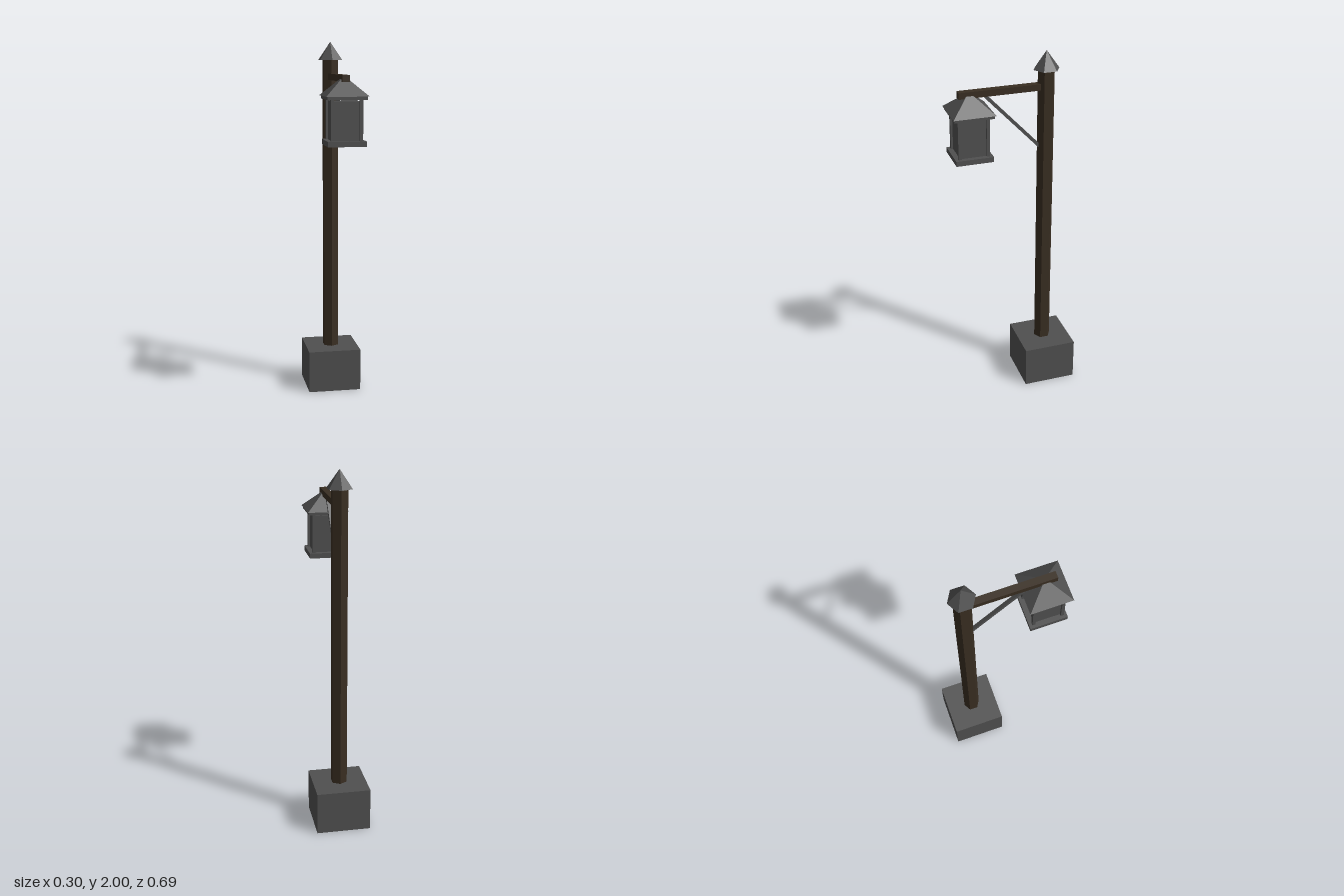
import * as THREE from 'three';

export function createModel() {
  const group = new THREE.Group();
  const iron = new THREE.MeshStandardMaterial({ color: 0x505050, flatShading: true });
  iron.name = 'dark grey';
  const wood = new THREE.MeshStandardMaterial({ color: 0x392e22, flatShading: true });
  wood.name = 'dark brown wood';

  const add = (name, geometry, material, x, y, z, parent = group) => {
    const mesh = new THREE.Mesh(geometry, material);
    mesh.name = name;
    mesh.position.set(x, y, z);
    parent.add(mesh);
    return mesh;
  };
  // Box given by its width, depth, bottom and top
  const block = (name, material, w, d, y0, y1, x, z, parent) =>
    add(name, new THREE.BoxGeometry(w, y1 - y0, d), material, x, (y0 + y1) / 2, z, parent);

  // Base, hexagonal post and pointed cap
  const postZ = -0.194;
  block('base', iron, 0.3, 0.3, 0, 0.24, 0, postZ);
  add('post', new THREE.CylinderGeometry(0.047, 0.047, 1.66, 6), wood, 0, 1.07, postZ);
  add('postCap', new THREE.ConeGeometry(0.072, 0.1, 6), iron, 0, 1.95, postZ);

  // Arm and its diagonal brace
  block('arm', wood, 0.038, 0.482, 1.79, 1.825, 0, 0.047);
  const from = new THREE.Vector3(0, 1.47, -0.16);
  const to = new THREE.Vector3(0, 1.795, 0.147);
  const brace = add('brace', new THREE.BoxGeometry(0.018, from.distanceTo(to), 0.018), iron, 0, 0, 0);
  brace.position.copy(from).lerp(to, 0.5);
  brace.rotation.x = Math.atan2(to.z - from.z, to.y - from.y);

  // Lantern hanging under the arm
  const lantern = new THREE.Group();
  lantern.name = 'lantern';
  lantern.position.z = 0.228;
  group.add(lantern);
  block('lanternFloor', iron, 0.204, 0.204, 1.457, 1.485, 0, 0, lantern);
  block('lanternPanes', iron, 0.148, 0.148, 1.485, 1.69, 0, 0, lantern);
  for (const x of [-1, 1]) {
    for (const z of [-1, 1]) {
      block('lanternCornerPost', iron, 0.017, 0.017, 1.485, 1.7, x * 0.077, z * 0.077, lantern);
    }
  }
  block('lanternEave', iron, 0.212, 0.212, 1.699, 1.716, 0, 0, lantern);
  const roof = new THREE.ConeGeometry(0.114 * Math.SQRT2, 0.104, 4).rotateY(Math.PI / 4);
  add('lanternRoof', roof, iron, 0, 1.768, 0, lantern);

  return group;
}
